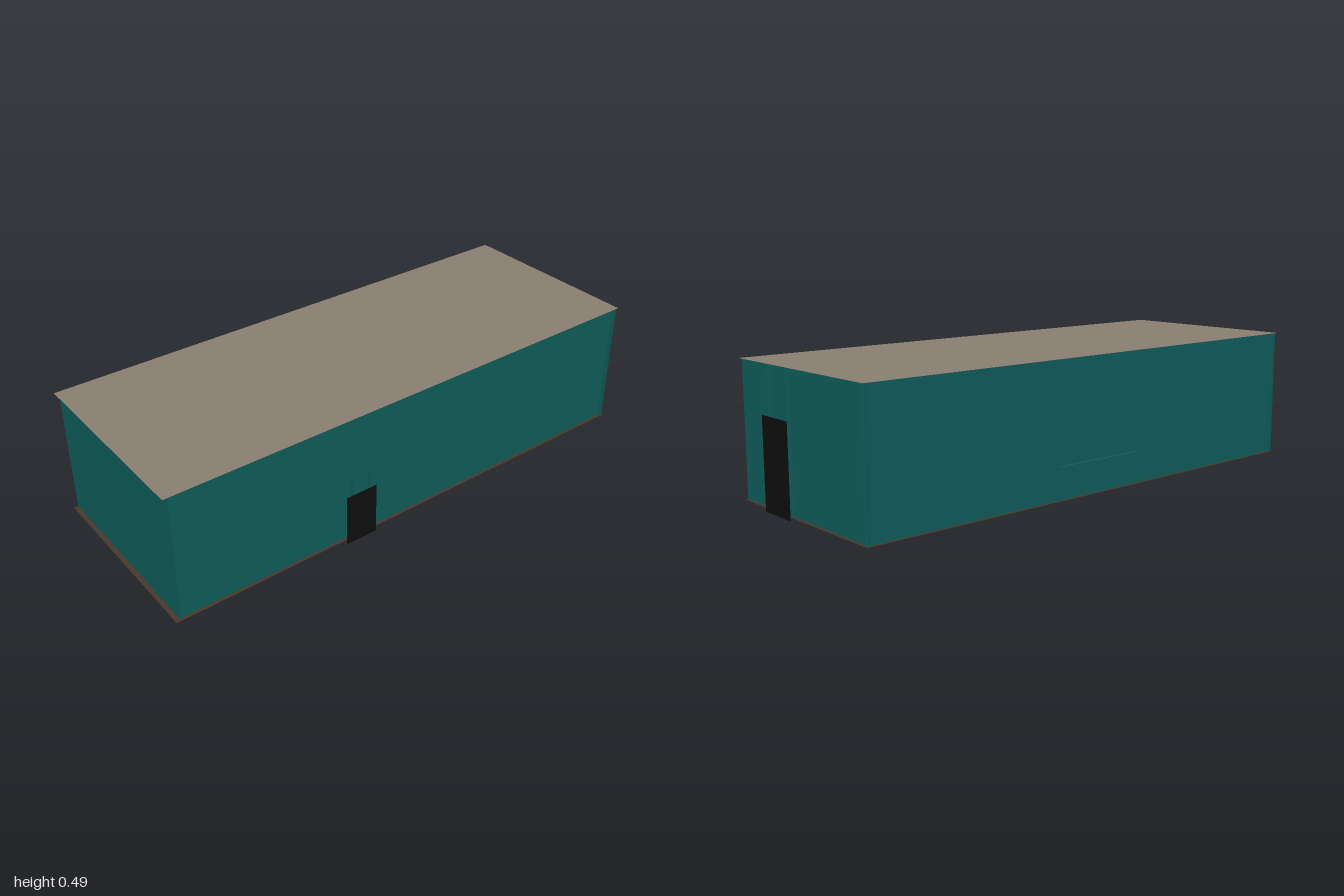
import * as THREE from 'three';

const material = (name, color) => {
  const m = new THREE.MeshStandardMaterial({ color, side: THREE.DoubleSide });
  m.name = name;
  return m;
};

export function createModel() {
  const model = new THREE.Group();
  model.name = 'hall';
  const teal = material('teal wall', 0x0f605d);
  const stone = material('grey roof', 0x8a8072);
  const brown = material('brown floor', 0x4a382c);
  const black = material('black door', 0x0f0f0f);

  // Flat sheet between two corners; the axis on which they agree is its normal
  const sheet = (name, mat, a, b) => {
    const size = a.map((v, i) => Math.abs(b[i] - v));
    const axis = size.indexOf(0);
    const geo = axis === 0 ? new THREE.PlaneGeometry(size[2], size[1]).rotateY(Math.PI / 2)
      : axis === 1 ? new THREE.PlaneGeometry(size[0], size[2]).rotateX(-Math.PI / 2)
        : new THREE.PlaneGeometry(size[0], size[1]);
    const mesh = new THREE.Mesh(geo, mat);
    mesh.position.set(...a.map((v, i) => (v + b[i]) / 2));
    mesh.name = name;
    model.add(mesh);
  };

  const left = 0.365, right = -0.38, low = 0.006, high = 0.493;

  // Roof and floor overhang the walls slightly
  sheet('roof', stone, [right, high, -0.987], [left, high, 1]);
  sheet('floor', brown, [right, low, -0.987], [left, low, 1]);

  // Full-width end walls, with the long walls set in between
  sheet('frontWall', teal, [right, low, 0.983], [left, high, 0.983]);
  sheet('backWall', teal, [right, low, -0.975], [left, high, -0.975]);
  sheet('leftWall', teal, [0.353, low, -0.967], [0.353, high, 0.983]);
  sheet('rightWall', teal, [-0.368, low, -0.985], [-0.368, high, 0.983]);

  // Doors stand just outside their walls
  sheet('sideDoor', black, [0.38, 0, 0.21], [0.38, 0.2, 0.337]);
  sheet('backDoor', black, [0.036, 0, -1], [0.196, 0.325, -1]);

  // Thin fins beside each door
  for (const z of [0.225, 0.3]) {
    sheet('sideDoorFin', teal, [0.353, low, z], [0.367, 0.255, z]);
  }
  for (const x of [0.056, 0.172]) {
    sheet('backDoorFin', teal, [x, low, -0.99], [x, high, -0.975]);
  }

  // Narrow ledge on the right wall
  sheet('ledge', teal, [-0.38, 0.125, -0.2], [-0.368, 0.125, 0.18]);

  return model;
}
